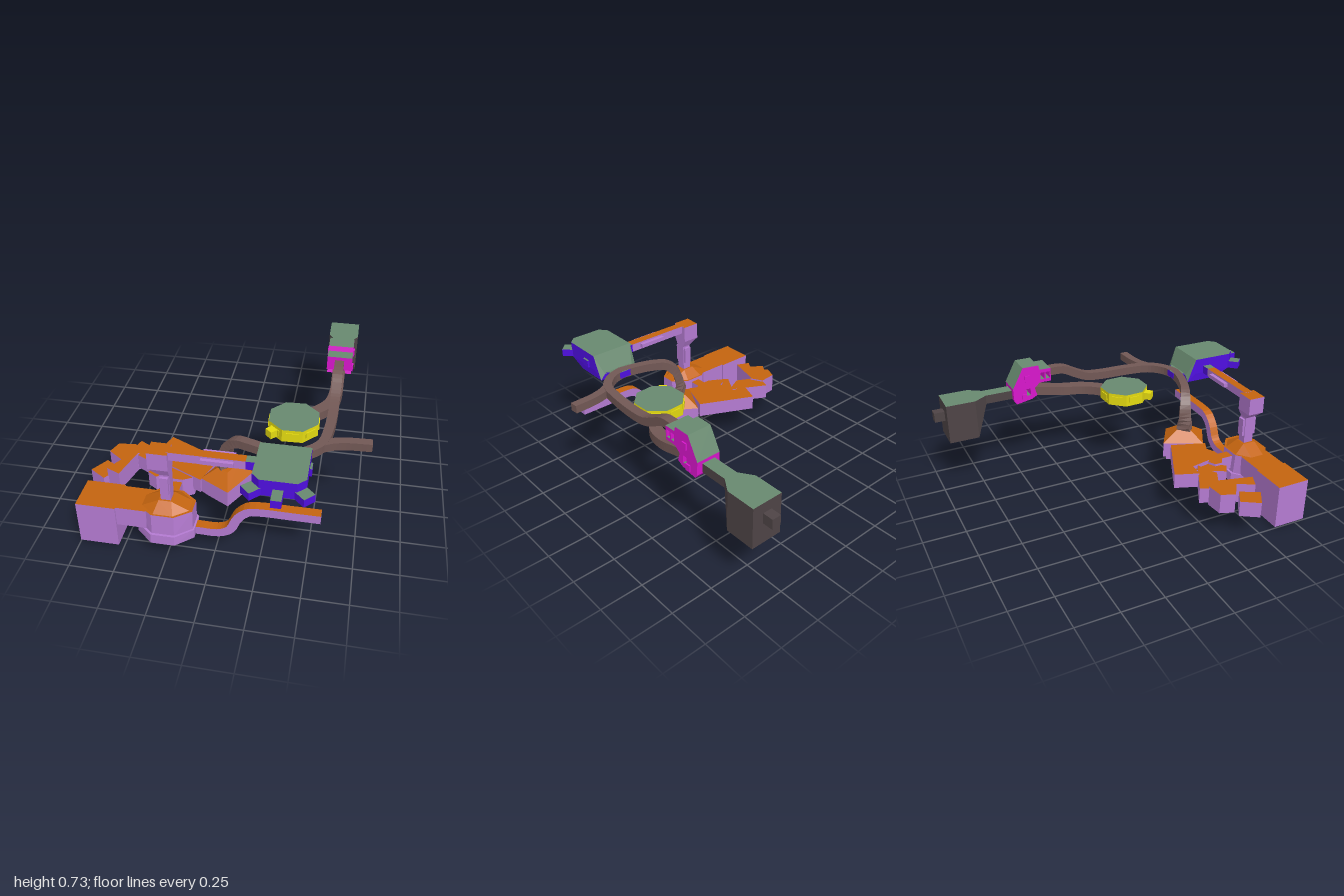
import * as THREE from 'three';
import { ConvexGeometry } from 'three/addons/geometries/ConvexGeometry.js';

const mat = (color) => new THREE.MeshStandardMaterial({ color, flatShading: true, side: THREE.DoubleSide });
const purple = mat(0xb57bd2), orange = mat(0xc4640f), blue = mat(0x4f0fe0), green = mat(0x68896f),
  yellow = mat(0xe4da10), magenta = mat(0xd816cc), brown = mat(0x725855), dark = mat(0x4e4446);

export function createModel() {
  const model = new THREE.Group();

  // Adds a mesh whose upward faces take the roof material.
  function add(name, geometry, wall, roof = wall) {
    const g = geometry.index ? geometry.toNonIndexed() : geometry;
    const p = g.attributes.position;
    const walls = [], roofs = [];
    const a = new THREE.Vector3(), b = new THREE.Vector3(), c = new THREE.Vector3();
    for (let i = 0; i < p.count; i += 3) {
      a.fromBufferAttribute(p, i);
      b.fromBufferAttribute(p, i + 1).sub(a);
      c.fromBufferAttribute(p, i + 2).sub(a);
      (b.cross(c).normalize().y > 0.3 ? roofs : walls).push(i, i + 1, i + 2);
    }
    g.setIndex([...walls, ...roofs]);
    g.clearGroups();
    g.addGroup(0, walls.length, 0);
    g.addGroup(walls.length, roofs.length, 1);
    g.computeVertexNormals();
    const mesh = new THREE.Mesh(g, [wall, roof]);
    mesh.name = name;
    model.add(mesh);
    return mesh;
  }

  // Box from its limits, optionally turned about its own vertical axis.
  function box(name, x0, x1, y0, y1, z0, z1, wall, roof, turn = 0) {
    const g = new THREE.BoxGeometry(x1 - x0, y1 - y0, z1 - z0).rotateY(turn);
    return add(name, g.translate((x0 + x1) / 2, (y0 + y1) / 2, (z0 + z1) / 2), wall, roof);
  }

  // Floor plan in x and z, raised from y0 to y1.
  function plan(name, pts, y0, y1, wall, roof) {
    const shape = new THREE.Shape(pts.map(([x, z]) => new THREE.Vector2(x, z)));
    const g = new THREE.ExtrudeGeometry(shape, { depth: y1 - y0, bevelEnabled: false });
    return add(name, g.rotateX(Math.PI / 2).translate(0, y1, 0), wall, roof);
  }

  // Convex solid spanned by levels of [y, plan points].
  function hull(name, levels, wall, roof) {
    const pts = levels.flatMap(([y, plan]) => plan.map(([x, z]) => new THREE.Vector3(x, y, z)));
    return add(name, new ConvexGeometry(pts), wall, roof);
  }
  const rect = (x0, x1, z0, z1) => [[x0, z0], [x1, z0], [x1, z1], [x0, z1]];
  const octagon = (cx, cz, rx, rz = rx, turn = Math.PI / 8) => Array.from({ length: 8 }, (_, i) => {
    const t = turn + i * Math.PI / 4;
    return [cx + rx * Math.cos(t), cz + rz * Math.sin(t)];
  });

  // Square passage swept along a path, with level floor and changing width.
  function passage(name, path, w0, w1, h, wall, roof, steps = 24) {
    const curve = new THREE.CatmullRomCurve3(path.map((p) => new THREE.Vector3(...p)));
    const pos = [], idx = [];
    for (let i = 0; i <= steps; i++) {
      const u = i / steps, c = curve.getPointAt(u), t = curve.getTangentAt(u);
      const flat = Math.hypot(t.x, t.z) > 0.02 ? t : new THREE.Vector3(1, 0, 0.4);
      const side = new THREE.Vector3(-flat.z, 0, flat.x).normalize();
      const up = new THREE.Vector3().crossVectors(side, t).normalize();
      const w = THREE.MathUtils.lerp(w0, w1, Math.min(1, u * 2)) / 2;
      for (const [s, v] of [[-1, -1], [1, -1], [1, 1], [-1, 1]]) {
        pos.push(...c.clone().addScaledVector(side, s * w).addScaledVector(up, v * h / 2).toArray());
      }
      if (i < steps) for (let k = 0; k < 4; k++) {
        const a = i * 4 + k, b = i * 4 + (k + 1) % 4;
        idx.push(a, b, a + 4, b, b + 4, a + 4);
      }
    }
    const e = steps * 4;
    idx.push(0, 2, 1, 0, 3, 2, e, e + 1, e + 2, e, e + 2, e + 3);
    // side x up points backwards along the path or forwards: keep faces outward
    const probe = new THREE.Vector3(pos[3] - pos[0], pos[4] - pos[1], pos[5] - pos[2]);
    const rise = new THREE.Vector3(pos[9] - pos[0], pos[10] - pos[1], pos[11] - pos[2]);
    if (probe.cross(rise).dot(curve.getTangentAt(0)) < 0) {
      for (let i = 0; i < idx.length; i += 3) [idx[i], idx[i + 1]] = [idx[i + 1], idx[i]];
    }
    const g = new THREE.BufferGeometry();
    g.setAttribute('position', new THREE.Float32BufferAttribute(pos, 3));
    g.setIndex(idx);
    return add(name, g, wall, roof);
  }

  // West hall: deep end block, linking hall and round chamber
  box('westBlock', -0.75, -0.53, 0.01, 0.275, 0.61, 0.81, purple, orange);
  box('westHall', -0.53, -0.36, 0.155, 0.275, 0.62, 0.80, purple, orange);
  const ring = add('floorRing', new THREE.TorusGeometry(0.055, 0.006, 6, 24).rotateX(Math.PI / 2), green);
  ring.position.set(-0.64, 0.007, 0.71);
  hull('roundChamber', [[0.15, octagon(-0.265, 0.71, 0.16, 0.13)], [0.275, octagon(-0.265, 0.71, 0.16, 0.12)]], purple, orange);
  hull('chamberRoof', [[0.275, octagon(-0.265, 0.71, 0.14, 0.11)], [0.322, rect(-0.3, -0.23, 0.67, 0.75)]], purple, orange);
  hull('chamberBase', [[0.10, octagon(-0.265, 0.71, 0.17, 0.15)], [0.155, octagon(-0.265, 0.71, 0.17, 0.145)]], purple);

  // Small side chamber
  plan('sideChamber', octagon(-0.27, 0.455, 0.105, 0.06), 0.15, 0.275, purple, orange);
  box('sideNeck', -0.295, -0.235, 0.17, 0.255, 0.49, 0.62, purple, orange);

  // Shaft and upper corridor
  box('shaft', -0.29, -0.235, 0.30, 0.60, 0.68, 0.74, purple, orange);
  box('shaftBand', -0.285, -0.24, 0.37, 0.48, 0.665, 0.757, purple);
  hull('shaftHead', [[0.49, rect(-0.29, -0.235, 0.68, 0.74)], [0.535, rect(-0.343, -0.235, 0.66, 0.76)],
    [0.638, rect(-0.343, -0.235, 0.66, 0.76)]], purple, orange);
  box('upperCorridor', -0.25, 0.165, 0.59, 0.64, 0.685, 0.737, purple, orange);
  box('corridorWindows', -0.065, 0.105, 0.605, 0.63, 0.66, 0.757, purple);

  // Lower corridor rising to the east
  passage('lowerCorridor', [[-0.3, 0.125, 0.71], [-0.1, 0.125, 0.71], [0.02, 0.128, 0.71], [0.08, 0.16, 0.71],
    [0.125, 0.25, 0.71], [0.18, 0.3, 0.71], [0.26, 0.31, 0.71], [0.40, 0.31, 0.71], [0.56, 0.31, 0.71]], 0.055, 0.055, 0.052, purple, orange, 36);

  // Rear rooms
  const roomPlan = [[-0.02, 0.27], [0.15, 0.38], [0.04, 0.585], [-0.13, 0.49]];
  const shrink = (pts, s) => pts.map(([x, z]) => [0.01 + (x - 0.01) * s, 0.43 + (z - 0.43) * s]);
  plan('eastRoom', roomPlan, 0.19, 0.285, purple, orange);
  hull('eastRoomRoof', [[0.285, roomPlan], [0.345, shrink(roomPlan, 0.36)]], purple, orange);
  plan('eastRoomBase', shrink(roomPlan, 0.85), 0.165, 0.195, purple);
  plan('longRoom', [[-0.38, 0.145], [-0.06, 0.30], [-0.13, 0.505], [-0.32, 0.415], [-0.345, 0.29], [-0.43, 0.28]], 0.195, 0.285, purple, orange);
  plan('longRoomLeg', [[-0.345, 0.29], [-0.30, 0.41], [-0.39, 0.495], [-0.445, 0.46]], 0.165, 0.26, purple, orange);
  plan('middleRoom', [[-0.56, 0.205], [-0.33, 0.33], [-0.385, 0.35], [-0.455, 0.385], [-0.60, 0.31]], 0.18, 0.275, purple, orange);
  plan('cornerRoom', [[-0.71, 0.345], [-0.68, 0.265], [-0.575, 0.255], [-0.535, 0.33], [-0.545, 0.34],
    [-0.595, 0.535], [-0.675, 0.50], [-0.62, 0.41]], 0.165, 0.285, purple, orange);
  plan('endRoom', [[-0.72, 0.37], [-0.785, 0.47], [-0.69, 0.53], [-0.62, 0.43]], 0.14, 0.235, purple, orange);

  // Blue room with sloped underside, mouth and three front ports
  const bluePlan = [[0.22, 0.63], [0.485, 0.63], [0.485, 0.88], [0.445, 0.92], [0.26, 0.92], [0.22, 0.88]];
  hull('blueRoom', [[0.69, bluePlan], [0.595, bluePlan], [0.545, rect(0.225, 0.48, 0.575, 0.78)],
    [0.58, rect(0.255, 0.45, 0.575, 0.6)]], blue, green);
  hull('blueMouth', [[0.545, [[0.27, 0.58], [0.44, 0.58], [0.40, 0.515], [0.305, 0.515]]],
    [0.587, [[0.27, 0.58], [0.44, 0.58], [0.40, 0.515], [0.305, 0.515]]]], blue, green);
  box('frontPort', 0.327, 0.38, 0.595, 0.64, 0.90, 1.0, blue, green);
  for (const s of [-1, 1]) {
    const x = 0.352 + s * 0.12;
    box('cornerPort', x - 0.05, x + 0.05, 0.595, 0.64, 0.875, 0.945, blue, green, -s * Math.PI / 4);
  }
  box('westPort', 0.165, 0.225, 0.59, 0.64, 0.685, 0.737, blue, green);
  box('eastPort', 0.48, 0.497, 0.595, 0.64, 0.685, 0.737, blue, green);

  // Brown tunnels
  passage('risingTunnel', [[-0.005, 0.34, 0.425], [0, 0.42, 0.43], [0.02, 0.5, 0.44], [0.07, 0.55, 0.467],
    [0.15, 0.562, 0.5], [0.25, 0.563, 0.532], [0.36, 0.563, 0.55]], 0.085, 0.05, 0.05, brown);
  passage('longTunnel', [[0.35, 0.563, 0.55], [0.44, 0.563, 0.52], [0.52, 0.563, 0.44], [0.548, 0.563, 0.3],
    [0.558, 0.563, 0.1], [0.558, 0.575, 0], [0.558, 0.61, -0.08], [0.557, 0.65, -0.16], [0.557, 0.655, -0.27]], 0.05, 0.055, 0.05, brown, brown, 36);
  passage('branchTunnel', [[0.515, 0.562, 0.445], [0.57, 0.562, 0.415], [0.65, 0.562, 0.395], [0.785, 0.562, 0.387]], 0.05, 0.05, 0.048, brown, brown, 10);
  passage('lowTunnel', [[0.41, 0.502, 0.10], [0.48, 0.502, 0.035], [0.535, 0.502, -0.05], [0.555, 0.508, -0.16],
    [0.556, 0.53, -0.27], [0.556, 0.553, -0.39]], 0.07, 0.075, 0.055, brown);

  // Yellow chamber with port and wall panels
  plan('yellowChamber', octagon(0.345, 0.175, 0.15, 0.15, 0.35), 0.472, 0.548, yellow, green);
  box('yellowPort', 0.205, 0.285, 0.485, 0.53, 0.255, 0.305, yellow, yellow, Math.PI / 4);
  for (let i = 0; i < 8; i++) {
    const t = 0.35 + (i + 0.5) * Math.PI / 4;
    const x = 0.345 + 0.139 * Math.cos(t), z = 0.175 + 0.139 * Math.sin(t);
    box('yellowPanel', x - 0.005, x + 0.005, 0.495, 0.53, z - 0.035, z + 0.035, yellow, yellow, -t);
  }

  // Magenta station: side profile in z and y with through windows
  const profile = [[-0.265, 0.70], [-0.337, 0.70], [-0.345, 0.73], [-0.445, 0.73], [-0.515, 0.60], [-0.512, 0.52],
    [-0.495, 0.497], [-0.395, 0.515], [-0.36, 0.535], [-0.375, 0.585], [-0.34, 0.615], [-0.265, 0.615]];
  const station = new THREE.Shape(profile.map(([z, y]) => new THREE.Vector2(z, y)));
  for (const [z, y] of [[-0.285, 0.657], [-0.32, 0.657], [-0.415, 0.565]]) {
    const w = 0.013, h = 0.022;
    station.holes.push(new THREE.Path([[-w, -h], [-w, h], [w, h], [w, -h]].map(([a, b]) => new THREE.Vector2(z + a, y + b))));
  }
  add('magentaStation', new THREE.ExtrudeGeometry(station, { depth: 0.147, bevelEnabled: false })
    .rotateY(-Math.PI / 2).translate(0.631, 0, 0), magenta, green);
  for (const x of [0.482, 0.634]) for (const [z, y] of [[-0.42, 0.655], [-0.445, 0.535]]) {
    box('stationFrame', x - 0.005, x + 0.005, y - 0.02, y + 0.02, z - 0.016, z + 0.016, magenta);
  }

  // Dark end room with flared neck and rear port
  box('darkNeck', 0.517, 0.597, 0.525, 0.58, -0.69, -0.50, dark, green);
  hull('darkRoom', [[0.58, [[0.517, -0.68], [0.597, -0.68], [0.65, -0.76], [0.65, -0.937], [0.465, -0.937], [0.465, -0.76]]],
    [0.525, rect(0.517, 0.597, -0.69, -0.68)], [0.335, rect(0.465, 0.65, -0.937, -0.757)]], dark, green);
  box('rearPort', 0.53, 0.585, 0.46, 0.52, -1.0, -0.93, dark);

  return model;
}
